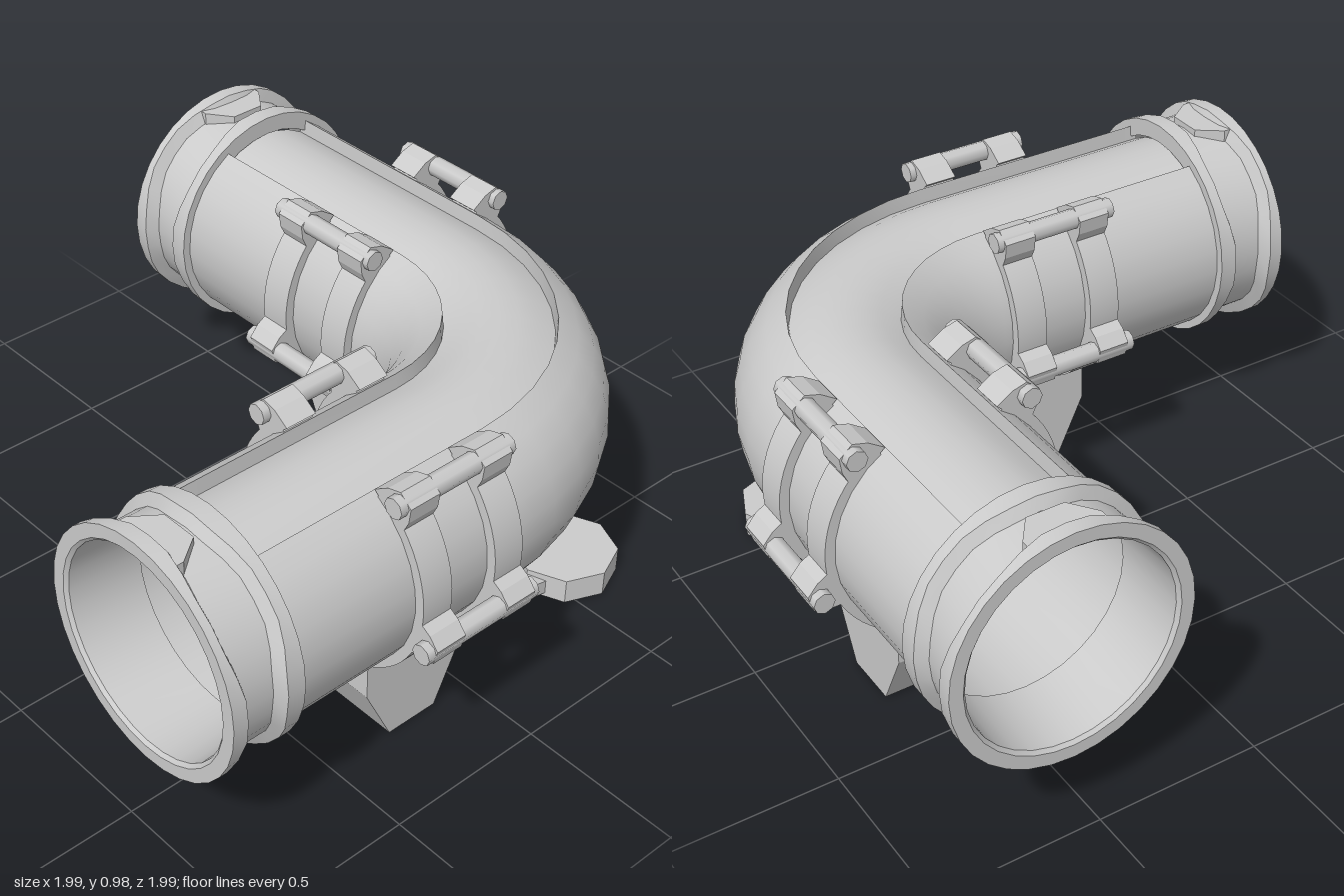
import * as THREE from 'three';
import { toCreasedNormals } from 'three/addons/utils/BufferGeometryUtils.js';

const grey = new THREE.MeshStandardMaterial({ color: 0xcccccc });
const greyOpen = new THREE.MeshStandardMaterial({ color: 0xcccccc, side: THREE.DoubleSide });
const AXIS_Y = 0.62; // height of the pipe axis
const BEND = 0.58; // radius of the bend's centre line
const R = 0.325; // pipe radius

function add(parent, name, geometry, material = grey) {
  const mesh = new THREE.Mesh(geometry, material);
  mesh.name = name;
  parent.add(mesh);
  return mesh;
}

// Skin over closed rings that all have the same number of points
function loft(rings, crease) {
  const n = rings[0].length;
  const index = [];
  for (let i = 0; i < rings.length - 1; i++) {
    for (let j = 0; j < n; j++) {
      const a = i * n + j, b = i * n + (j + 1) % n;
      index.push(a, a + n, b, b, a + n, b + n);
    }
  }
  const g = new THREE.BufferGeometry().setFromPoints(rings.flat());
  g.setIndex(index);
  return toCreasedNormals(g, crease);
}

function extrude(shape, depth, curveSegments = 12) {
  return new THREE.ExtrudeGeometry(shape, { depth, curveSegments, bevelEnabled: false });
}

const polygon = pts => new THREE.Shape(pts.map(p => new THREE.Vector2(...p)));

// Pipe section: round, with a shallow channel along the top
function pipeSection() {
  const edge = Math.acos(0.16 / R);
  const pts = [];
  const span = Math.PI + 2 * edge;
  for (let i = 0; i <= 24; i++) {
    const a = Math.PI - edge + span * i / 24;
    pts.push([R * Math.cos(a), R * Math.sin(a)]);
  }
  for (let i = 0; i <= 6; i++) {
    const x = 0.155 - 0.31 * i / 6;
    pts.push([x, Math.sqrt(0.283 ** 2 - x * x)]);
  }
  return pts;
}

function pipeGeometry() {
  const section = pipeSection();
  const rings = [section.map(([u, v]) => new THREE.Vector3(BEND + u, v + AXIS_Y, 0.79))];
  for (let i = 0; i <= 10; i++) {
    const t = Math.PI / 2 * i / 10;
    rings.push(section.map(([u, v]) => new THREE.Vector3(
      (BEND + u) * Math.cos(t), v + AXIS_Y, -(BEND + u) * Math.sin(t))));
  }
  rings.push(section.map(([u, v]) => new THREE.Vector3(-0.79, v + AXIS_Y, -BEND - u)));
  return loft(rings, 0.5);
}

// Flanged end collar; the flanges swell towards each other in four places
function collarGeometry() {
  const profile = [ // z, radius, swelling along z
    [0.77, 0.295, 0], [0.99, 0.305, 0], [1, 0.315, 0], [1, 0.355, 0], [0.975, 0.355, -0.02],
    [0.955, 0.318, -0.02], [0.825, 0.318, 0.02], [0.805, 0.35, 0.02], [0.77, 0.35, 0], [0.77, 0.295, 0],
  ];
  const n = 32;
  return loft(profile.map(([z, r, swell]) => Array.from({ length: n }, (_, j) => {
    const a = 2 * Math.PI * j / n;
    const off = Math.abs(a - Math.round(a / (Math.PI / 2)) * Math.PI / 2);
    const w = 1 - THREE.MathUtils.smoothstep(off, 0.28, 0.5);
    return new THREE.Vector3(r * Math.cos(a), r * Math.sin(a), z + swell * w);
  })), 0.6);
}

// Band that wraps the pipe but leaves the top channel free
function bandGeometry() {
  const start = THREE.MathUtils.degToRad(57), end = Math.PI - start;
  const shape = new THREE.Shape();
  shape.absarc(0, 0, 0.353, start, end, true);
  shape.absarc(0, 0, 0.318, end, start, false);
  return toCreasedNormals(extrude(shape, 0.1, 28), 0.5);
}

// One straight arm along +z: collar, clamp and foot
function createArm() {
  const arm = new THREE.Group();
  add(arm, 'collar', collarGeometry(), greyOpen);

  // Trapezoid pad on top of the collar
  const pad = add(arm, 'collarPad', extrude(
    polygon([[-0.11, -0.975], [0.11, -0.975], [0.11, -0.94], [0.055, -0.865], [-0.055, -0.865], [-0.11, -0.94]]), 0.04));
  pad.rotation.x = -Math.PI / 2;
  pad.position.y = 0.295;

  // Clamp: two bands, each with four lugs, joined by four bolts
  const clamp = new THREE.Group();
  clamp.name = 'clamp';
  arm.add(clamp);
  const band = bandGeometry();
  const lug = extrude(polygon([[0.325, -0.065], [0.38, -0.05], [0.418, -0.025],
    [0.418, 0.025], [0.38, 0.05], [0.325, 0.065]]), 0.1);
  const bolt = new THREE.CylinderGeometry(0.031, 0.031, 0.4, 8).rotateX(Math.PI / 2);
  const lugAngles = [49, -16, 131, 196].map(THREE.MathUtils.degToRad);
  for (const z of [0.025, 0.28]) {
    add(clamp, 'band', band).position.z = z;
    for (const a of lugAngles) {
      const m = add(clamp, 'lug', lug);
      m.position.z = z;
      m.rotation.z = a;
    }
  }
  for (const a of lugAngles) {
    add(clamp, 'bolt', bolt).position.set(0.39 * Math.cos(a), 0.39 * Math.sin(a), 0.205);
  }

  // Foot: saddle under the pipe and a tapered block below it
  const saddle = new THREE.Shape();
  saddle.moveTo(-0.16, -0.43);
  saddle.lineTo(0.16, -0.43);
  const a = Math.acos(0.16 / 0.33);
  saddle.absarc(0, 0, 0.33, -a, a - Math.PI, true);
  add(arm, 'footSaddle', extrude(saddle, 0.35)).position.z = 0.03;
  const foot = add(arm, 'foot', extrude(
    polygon([[0.03, -0.43], [0.12, -AXIS_Y], [0.29, -AXIS_Y], [0.38, -0.43]]), 0.32));
  foot.rotation.y = -Math.PI / 2;
  foot.position.x = 0.16;

  // Flat strut sloping from the foot down to the corner hub
  const dz = 0.6, dy = 0.125;
  const strut = add(arm, 'strut', new THREE.BoxGeometry(0.11, 0.045, Math.hypot(dz, dy)));
  strut.position.set(0, 0.0825 - AXIS_Y, -0.22);
  strut.rotation.x = -Math.atan2(dy, dz);
  return arm;
}

export function createModel() {
  const model = new THREE.Group();
  model.name = 'pipeElbow';
  add(model, 'pipe', pipeGeometry(), greyOpen);

  const frontArm = createArm();
  frontArm.name = 'frontArm';
  frontArm.position.set(BEND, AXIS_Y, 0);
  const sideArm = createArm();
  sideArm.name = 'sideArm';
  sideArm.position.set(0, AXIS_Y, -BEND);
  sideArm.rotation.y = -Math.PI / 2;
  model.add(frontArm, sideArm);

  // Octagonal ground hub at the corner
  add(model, 'hub', new THREE.CylinderGeometry(0.16, 0.16, 0.08, 8).toNonIndexed())
    .position.set(BEND, 0.04, -BEND);
  model.traverse(o => {
    if (o.name === 'hub') o.geometry.computeVertexNormals();
  });
  return model;
}
